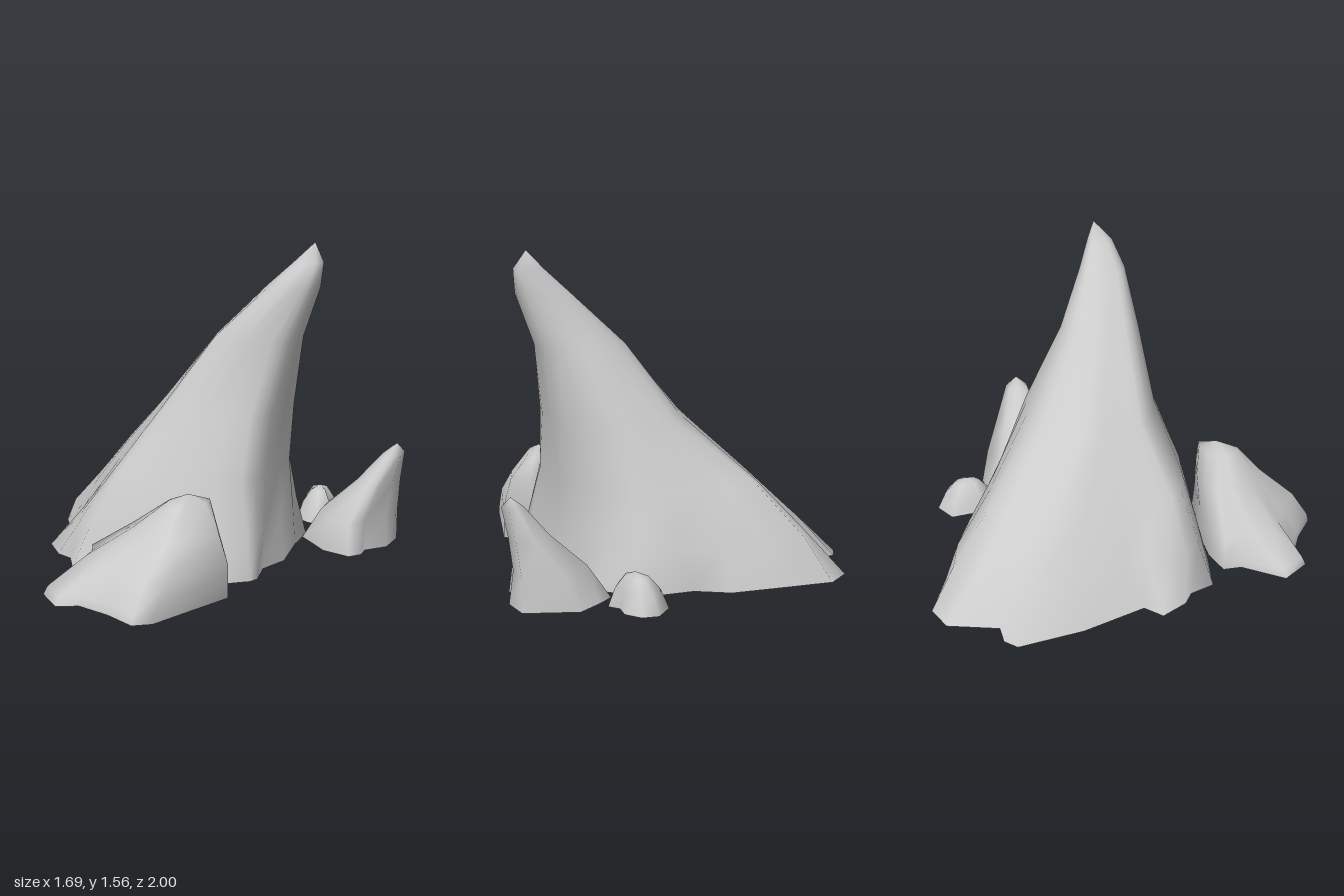
import * as THREE from 'three';

const material = new THREE.MeshStandardMaterial({ color: 0xcccccc, side: THREE.DoubleSide });

// flat list x,z,x,z... -> ring of points at height y
function ring(y, flat) {
  const pts = [];
  for (let i = 0; i < flat.length; i += 2) pts.push(new THREE.Vector3(flat[i], y, flat[i + 1]));
  return pts;
}

// doubles the points of a ring along a closed spline
function refine(pts) {
  const curve = new THREE.CatmullRomCurve3(pts, true, 'catmullrom', 0.4);
  return Array.from({ length: pts.length * 2 }, (_, i) => curve.getPoint(i / (pts.length * 2)));
}

// copy of a ring, moved to height y and shrunk about (cx, cz)
function shrink(pts, y, s, cx, cz) {
  return pts.map(p => new THREE.Vector3(cx + (p.x - cx) * s, y, cz + (p.z - cz) * s));
}

// skin over stacked rings, closed by an apex and open underneath
function rock(name, rings, apex) {
  const n = rings[0].length, index = [];
  const points = [...rings.flat(), new THREE.Vector3(...apex)];
  const top = points.length - 1;
  rings.forEach((_, r) => {
    for (let i = 0; i < n; i++) {
      const a = r * n + i, b = r * n + (i + 1) % n;
      if (r < rings.length - 1) index.push(a, b, b + n, a, b + n, a + n);
      else index.push(a, b, top);
    }
  });
  const geometry = new THREE.BufferGeometry().setFromPoints(points);
  geometry.setIndex(index);
  geometry.computeVertexNormals();
  const mesh = new THREE.Mesh(geometry, material);
  mesh.name = name;
  return mesh;
}

export function createModel() {
  const group = new THREE.Group();
  group.name = 'rockFormation';

  // tall leaning spire; rings run left, front, right, back
  const base = ring(0, [-0.85, -0.11, -0.62, 0.14, -0.34, 0.35, -0.37, 0.46, -0.23, 0.53, -0.14, 0.53,
    -0.03, 0.61, 0.2, 0.51, 0.45, 0.38, 0.6, 0.29, 0.69, 0.13, 0.69, 0.08,
    0.61, -0.04, 0.6, -0.2, 0.47, -0.42, 0.4, -0.58, 0.19, -0.71, -0.05, -0.66,
    -0.22, -0.71, -0.45, -0.67, -0.72, -0.62, -0.81, -0.5, -0.74, -0.25, -0.83, -0.19]);
  const neck = refine(ring(1.35, [0.48, -0.2, 0.5, -0.16, 0.53, -0.13, 0.57, -0.1, 0.65, -0.11, 0.71, -0.17,
    0.73, -0.22, 0.71, -0.3, 0.64, -0.33, 0.56, -0.32, 0.5, -0.29, 0.47, -0.25]));
  group.add(rock('spire', [
    base,
    refine(ring(0.2, [-0.65, -0.12, -0.33, 0.24, -0.18, 0.42, 0, 0.52, 0.42, 0.34, 0.66, 0.12,
      0.6, -0.06, 0.47, -0.4, 0.22, -0.66, -0.18, -0.65, -0.6, -0.55, -0.62, -0.28])),
    refine(ring(0.45, [-0.38, -0.08, -0.19, 0.14, -0.04, 0.31, 0.07, 0.4, 0.4, 0.28, 0.6, 0.1,
      0.58, -0.08, 0.46, -0.38, 0.22, -0.57, -0.1, -0.54, -0.38, -0.44, -0.38, -0.25])),
    refine(ring(0.75, [-0.06, -0.06, 0.03, 0.05, 0.1, 0.13, 0.17, 0.19, 0.38, 0.15, 0.58, 0.03,
      0.6, -0.1, 0.52, -0.34, 0.3, -0.49, 0.15, -0.46, 0, -0.36, -0.05, -0.22])),
    refine(ring(1.1, [0.24, -0.12, 0.27, -0.06, 0.31, -0.01, 0.36, 0.04, 0.5, 0.02, 0.61, -0.08,
      0.64, -0.18, 0.6, -0.31, 0.48, -0.36, 0.36, -0.35, 0.26, -0.3, 0.21, -0.22])),
    neck,
    shrink(neck, 1.47, 0.55, 0.75, -0.3),
  ], [0.68, 1.56, -0.29]));

  // broad boulder in front
  group.add(rock('frontBoulder', [
    ring(0, [0.12, 0.62, 0.17, 0.7, 0.15, 0.94, 0.31, 1, 0.38, 0.92, 0.55, 0.9,
      0.72, 0.91, 0.77, 0.83, 0.77, 0.36, 0.63, 0.29, 0.4, 0.4, 0.22, 0.51]),
    ring(0.04, [0.12, 0.62, 0.17, 0.7, 0.16, 0.92, 0.31, 0.98, 0.38, 0.91, 0.55, 0.89,
      0.72, 0.9, 0.77, 0.82, 0.77, 0.36, 0.63, 0.29, 0.4, 0.4, 0.22, 0.51]),
    ring(0.16, [0.13, 0.62, 0.19, 0.67, 0.23, 0.75, 0.35, 0.81, 0.42, 0.81, 0.55, 0.81,
      0.7, 0.82, 0.76, 0.73, 0.77, 0.36, 0.63, 0.3, 0.4, 0.4, 0.22, 0.51]),
    ring(0.3, [0.32, 0.52, 0.36, 0.55, 0.38, 0.59, 0.43, 0.62, 0.5, 0.64, 0.57, 0.65,
      0.66, 0.64, 0.71, 0.58, 0.73, 0.38, 0.64, 0.3, 0.5, 0.35, 0.4, 0.43]),
    ring(0.43, [0.49, 0.46, 0.5, 0.48, 0.51, 0.5, 0.53, 0.52, 0.55, 0.53, 0.58, 0.54,
      0.62, 0.53, 0.63, 0.49, 0.64, 0.38, 0.61, 0.32, 0.56, 0.34, 0.52, 0.4]),
  ], [0.58, 0.47, 0.43]));

  // pointed boulder behind
  group.add(rock('backBoulder', [
    ring(0, [0.34, -0.69, 0.42, -0.53, 0.63, -0.45, 0.78, -0.47, 0.8, -0.54,
      0.77, -0.6, 0.81, -0.72, 0.76, -0.86, 0.5, -0.88, 0.4, -0.77]),
    ring(0.16, [0.45, -0.69, 0.5, -0.58, 0.64, -0.47, 0.76, -0.49, 0.78, -0.55,
      0.77, -0.6, 0.79, -0.73, 0.76, -0.86, 0.56, -0.87, 0.5, -0.77]),
    ring(0.32, [0.62, -0.73, 0.64, -0.68, 0.69, -0.64, 0.75, -0.63, 0.78, -0.65,
      0.79, -0.68, 0.81, -0.75, 0.78, -0.85, 0.69, -0.86, 0.63, -0.79]),
    ring(0.47, [0.74, -0.77, 0.75, -0.75, 0.77, -0.73, 0.79, -0.72, 0.81, -0.73,
      0.83, -0.74, 0.84, -0.77, 0.81, -0.84, 0.77, -0.84, 0.75, -0.81]),
  ], [0.8, 0.52, -0.79]));

  // little stone at the rear
  const stone = ring(0, [0.1, -0.88, 0.2, -0.76, 0.2, -0.73, 0.28, -0.72, 0.34, -0.73,
    0.37, -0.82, 0.32, -0.86, 0.31, -0.94, 0.24, -1, 0.16, -0.99]);
  group.add(rock('smallStone', [
    stone,
    shrink(stone, 0.09, 0.75, 0.25, -0.85),
    shrink(stone, 0.15, 0.4, 0.25, -0.85),
  ], [0.25, 0.17, -0.85]));

  return group;
}
